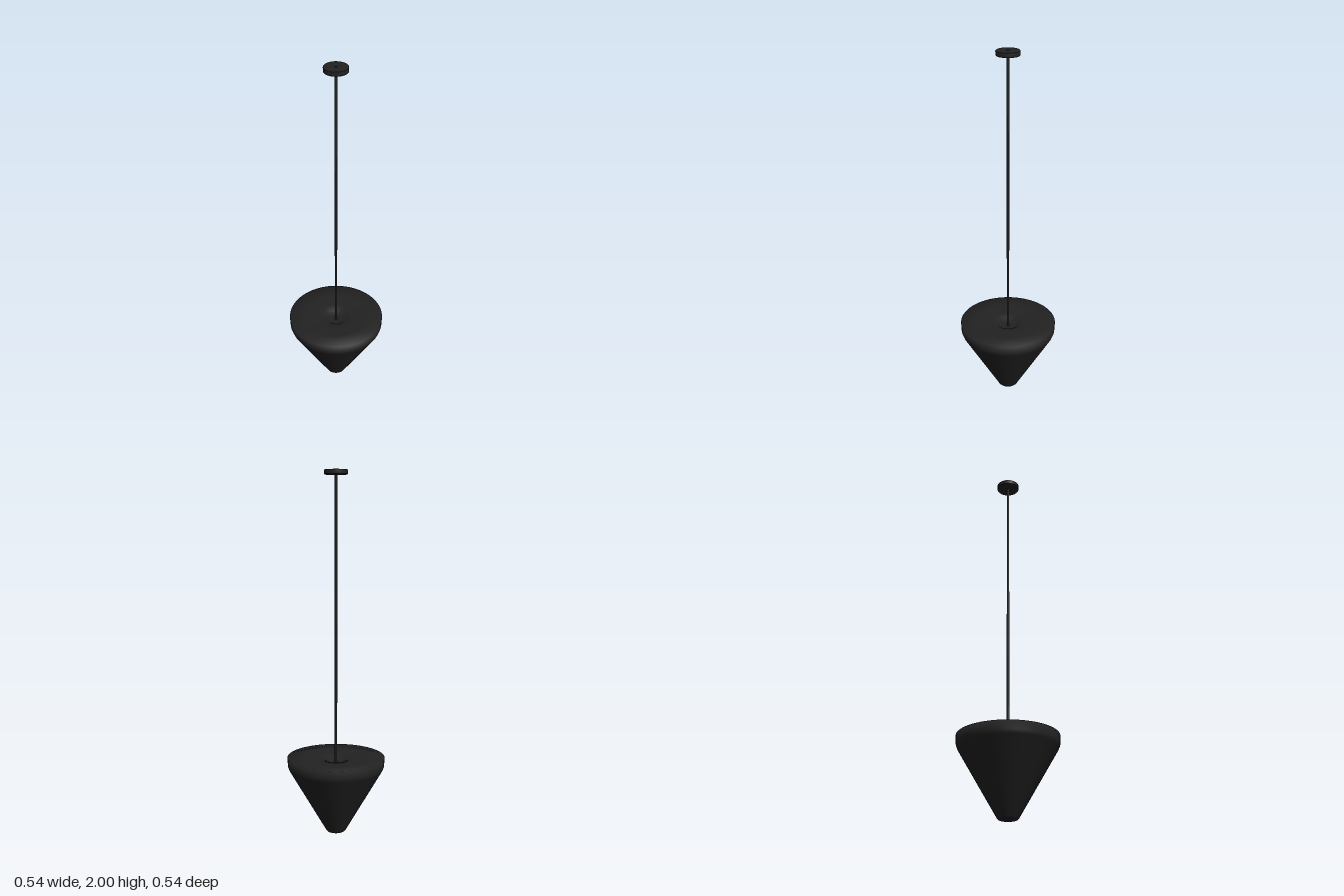
import * as THREE from 'three';

export function createModel() {
  const group = new THREE.Group();
  group.name = 'pendantLamp';
  const black = new THREE.MeshStandardMaterial({ color: 0x222222 });
  black.name = 'matte black';

  // Turned part with smooth normals; profile runs from bottom centre to top centre
  const turned = (name, profile, segments) => {
    const points = profile.map(([r, y]) => new THREE.Vector2(r, y));
    const mesh = new THREE.Mesh(new THREE.LatheGeometry(points, segments), black);
    mesh.name = name;
    group.add(mesh);
  };

  // Conical shade with a short upright rim and a shallow well around the rod
  turned('shade', [
    [0, 0], [0.048, 0], [0.056, 0.008], [0.262, 0.364], [0.269, 0.383], [0.271, 0.43],
    [0.18, 0.428], [0.1, 0.424], [0.06, 0.415], [0.045, 0.4], [0, 0.4],
  ], 64);

  // Ceiling canopy
  turned('canopy', [
    [0, 1.973], [0.061, 1.973], [0.063, 1.976], [0.063, 1.996], [0.061, 1.998], [0, 1.998],
  ], 48);

  // Suspension rod, just showing through the canopy
  const rod = new THREE.Mesh(new THREE.CylinderGeometry(0.007, 0.007, 1.61, 16), black);
  rod.name = 'rod';
  rod.position.y = 1.195;
  group.add(rod);

  return group;
}
